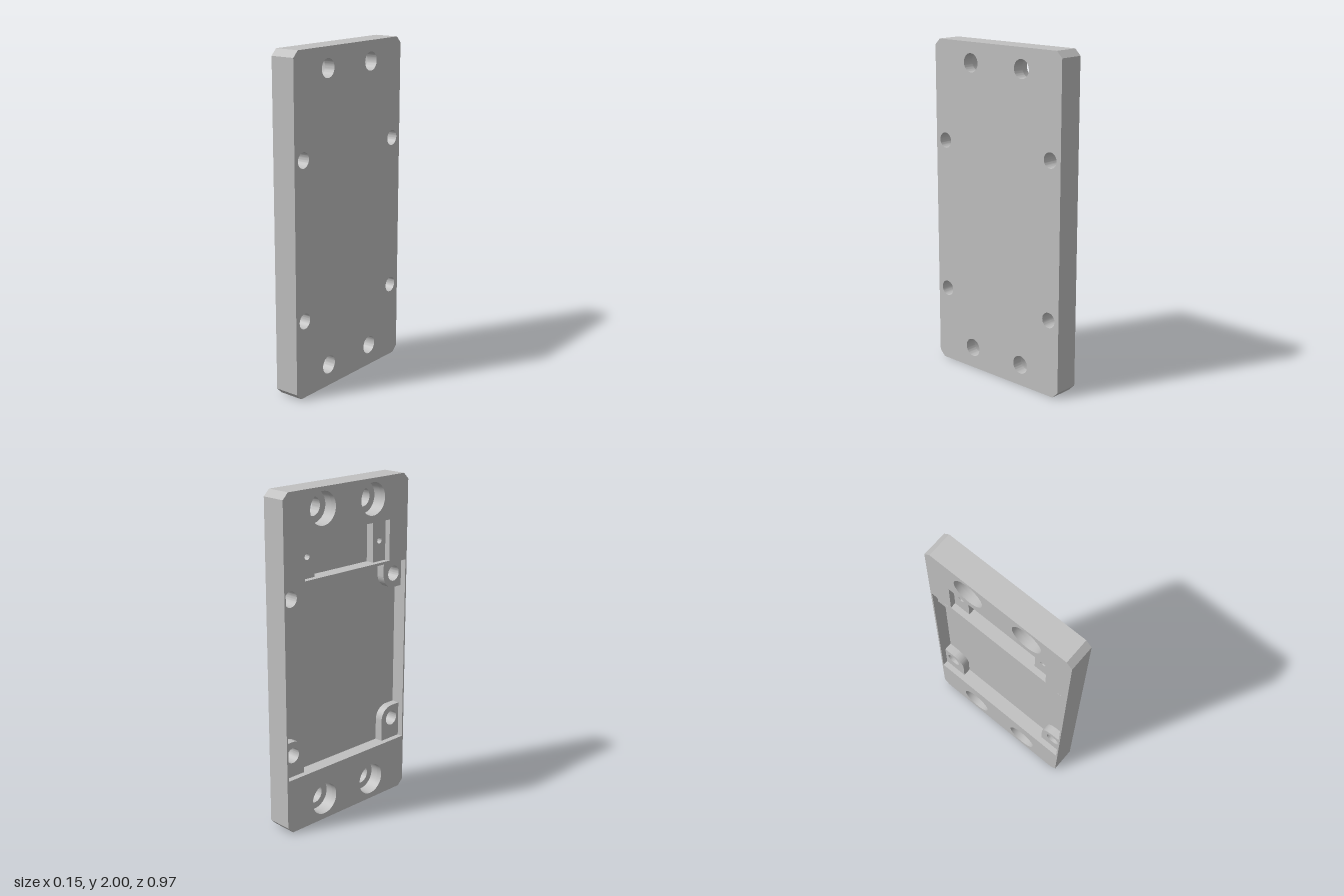
import * as THREE from 'three';
import { toCreasedNormals } from 'three/addons/utils/BufferGeometryUtils.js';

const THICK = 0.153, STEP = 0.035, FLOOR = 0.085; // depths measured from the pocket side (-x)
const BOLT_Z = 0.195, BOLT_Y = [0.13, 1.88];
const BOSS_Z = 0.41, BOSS_Y = [0.467, 1.4], BOSS_R = 0.085;
const POCKET = { z: 0.475, y0: 0.335, y1: 1.481 };
const WINDOW = { y0: 1.496, y1: 1.742 };

const polygon = (points) => new THREE.Path(points.map(([z, y]) => new THREE.Vector2(z, y)));
const rect = (z, y0, y1) => polygon([[-z, y0], [z, y0], [z, y1], [-z, y1]]);
const circle = (z, y, r) => new THREE.Path().absarc(z, y, r, 0, Math.PI * 2, false);
const pairs = (z, ys, r) => ys.flatMap((y) => [circle(-z, y, r), circle(z, y, r)]);

// Rectangular plate outline with chamfered corners
function plateOutline() {
  const w = 0.485, h = 2, c = 0.037;
  return new THREE.Shape([
    [-w + c, 0], [w - c, 0], [w, c], [w, h - c],
    [w - c, h], [-w + c, h], [-w, h - c], [-w, c],
  ].map(([z, y]) => new THREE.Vector2(z, y)));
}

// Large pocket, going around the four rounded screw bosses in its corners
function bossedPocket() {
  const { z, y0, y1 } = POCKET, [low, high] = BOSS_Y;
  const inner = BOSS_Z - BOSS_R, q = Math.PI / 2;
  const p = new THREE.Path();
  p.moveTo(-inner, y0);
  p.lineTo(inner, y0);
  p.absarc(BOSS_Z, low, BOSS_R, 2 * q, q, true);
  p.lineTo(z, low + BOSS_R);
  p.lineTo(z, high - BOSS_R);
  p.absarc(BOSS_Z, high, BOSS_R, -q, -2 * q, true);
  p.lineTo(inner, y1);
  p.lineTo(-inner, y1);
  p.absarc(-BOSS_Z, high, BOSS_R, 0, -q, true);
  p.lineTo(-z, high - BOSS_R);
  p.lineTo(-z, low + BOSS_R);
  p.absarc(-BOSS_Z, low, BOSS_R, q, 0, true);
  p.closePath();
  return p;
}

export function createModel() {
  const group = new THREE.Group();
  group.name = 'mountingPlate';
  const metal = new THREE.MeshStandardMaterial({ color: 0xc0c0c0 });
  metal.name = 'grey metal';

  // One slab of the plate between two depths, with its cut-outs
  function layer(name, from, to, holes) {
    const shape = plateOutline();
    shape.holes.push(...holes);
    const geo = new THREE.ExtrudeGeometry(shape, { depth: to - from, bevelEnabled: false, curveSegments: 24 });
    geo.rotateY(Math.PI / 2);
    geo.translate(from - THICK / 2, 0, 0);
    const mesh = new THREE.Mesh(toCreasedNormals(geo, 0.6), metal);
    mesh.name = name;
    group.add(mesh);
  }

  // Open rim: counterbores, wide window recess and full pocket
  layer('pocketRim', 0, STEP, [
    ...pairs(BOLT_Z, BOLT_Y, 0.096),
    rect(0.335, WINDOW.y0, WINDOW.y1),
    rect(POCKET.z, POCKET.y0, POCKET.y1),
  ]);

  // Middle: window ledges with pilot holes, and the screw bosses
  layer('ledgesAndBosses', STEP, FLOOR, [
    ...pairs(BOLT_Z, BOLT_Y, 0.096),
    rect(0.232, WINDOW.y0, WINDOW.y1),
    ...pairs(0.285, [(WINDOW.y0 + WINDOW.y1) / 2], 0.018),
    bossedPocket(),
    ...pairs(BOSS_Z, BOSS_Y, 0.046),
  ]);

  // Solid face plate with the through holes
  layer('facePlate', FLOOR, THICK, [
    ...pairs(BOLT_Z, BOLT_Y, 0.055),
    ...pairs(BOSS_Z, BOSS_Y, 0.046),
  ]);

  return group;
}
